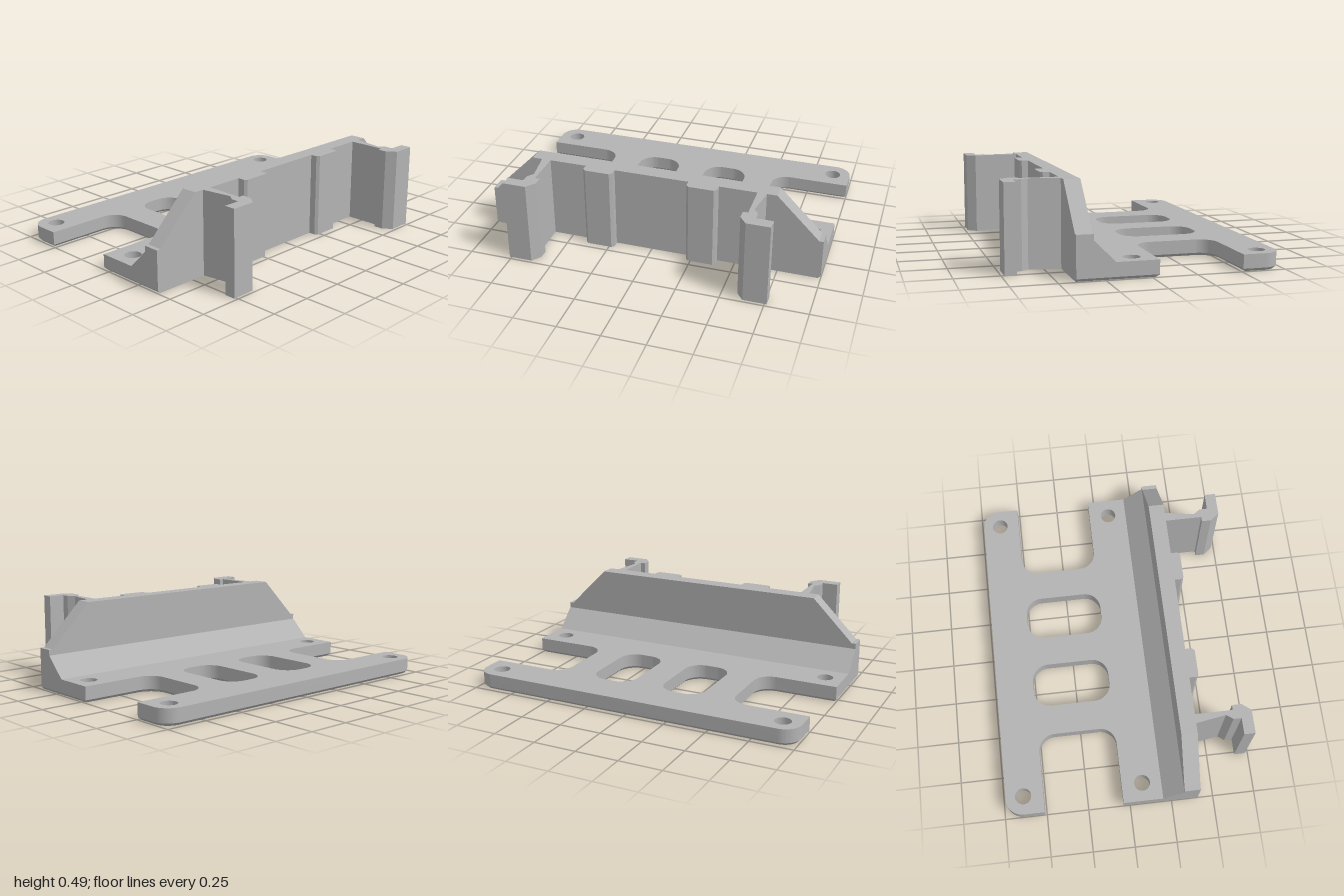
import * as THREE from 'three';
import { toCreasedNormals } from 'three/addons/utils/BufferGeometryUtils.js';

const HEIGHT = 0.494, PLATE = 0.094, FRONT = 0.408, BACK = -0.733, WALL_BACK = 0.315, CHAMFER = 0.016;

const polygon = (pts) => new THREE.Shape(pts.map(([x, y]) => new THREE.Vector2(x, y)));
const extrude = (shape, depth, steps = 1) =>
  new THREE.ExtrudeGeometry(shape, { depth, steps, bevelEnabled: false, curveSegments: 10 });

// Upright prism from an [x, z] plan
const upright = (plan, height) =>
  extrude(polygon(plan.map(([x, z]) => [x, -z])), height).rotateX(-Math.PI / 2);

const roundHole = (x, z, r) => new THREE.Path().absarc(x, -z, r, 0, Math.PI * 2, true);

function slotHole(x0, x1, y0, y1, r) {
  const p = new THREE.Path();
  p.moveTo(x0 + r, y0);
  p.absarc(x1 - r, y0 + r, r, -Math.PI / 2, 0);
  p.absarc(x1 - r, y1 - r, r, 0, Math.PI / 2);
  p.absarc(x0 + r, y1 - r, r, Math.PI / 2, Math.PI);
  p.absarc(x0 + r, y0 + r, r, Math.PI, Math.PI * 1.5);
  return p;
}

// Plate plan, drawn with shape y = -z
function plateShape() {
  const y0 = 0.04, y1 = 0.508, top = -BACK, inner = 0.535, r = 0.1, H = Math.PI / 2;
  const s = new THREE.Shape();
  s.moveTo(-1, -FRONT);
  s.lineTo(1, -FRONT);
  s.lineTo(1, y0);
  s.absarc(inner + r, y0 + r, r, -H, -2 * H, true);
  s.absarc(inner + r, y1 - r, r, 2 * H, H, true);
  s.lineTo(1, y1);
  s.absarc(1 - r, top - r, r, 0, H);
  s.absarc(-1 + r, top - r, r, H, 2 * H);
  s.lineTo(-1, y1);
  s.absarc(-inner - r, y1 - r, r, H, 0, true);
  s.absarc(-inner - r, y0 + r, r, 0, -H, true);
  s.lineTo(-1, y0);
  for (const side of [-1, 1]) {
    s.holes.push(roundHole(side * 0.892, -0.628, 0.048), roundHole(side * 0.892, 0.082, 0.048));
    s.holes.push(slotHole(side * 0.2225 - 0.1325, side * 0.2225 + 0.1325, y0, y1, r));
  }
  return s;
}

// Extrude the plate, then pull its lowest ring of points inward to chamfer the underside
function plateGeometry() {
  const shape = plateShape();
  const key = (x, y) => `${Math.round(x * 1e4)},${Math.round(y * 1e4)}`;
  const moved = new Map();
  const { shape: outline, holes } = shape.extractPoints(10);
  [outline, ...holes].forEach((ring, k) => {
    const pts = ring.filter((p, i) => p.distanceTo(ring[(i + 1) % ring.length]) > 1e-5);
    const sign = (THREE.ShapeUtils.area(pts) > 0 ? 1 : -1) * (k ? -1 : 1);
    const normal = (a, b) => new THREE.Vector2(a.y - b.y, b.x - a.x).normalize().multiplyScalar(sign);
    pts.forEach((p, i) => {
      const n1 = normal(pts[(i + pts.length - 1) % pts.length], p);
      const n2 = normal(p, pts[(i + 1) % pts.length]);
      const shift = n1.clone().add(n2).multiplyScalar(CHAMFER / (1 + n1.dot(n2)));
      if (p.y < -FRONT + 1e-4) shift.y = 0; // the front edge stays square
      moved.set(key(p.x, p.y), shift);
    });
  });
  const geo = extrude(shape, PLATE, 2);
  const pos = geo.attributes.position;
  for (let i = 0; i < pos.count; i++) {
    const z = pos.getZ(i);
    if (z < 1e-5) {
      const d = moved.get(key(pos.getX(i), pos.getY(i)));
      if (d) pos.setXY(i, pos.getX(i) + d.x, pos.getY(i) + d.y);
    } else if (z < PLATE - 1e-5) {
      pos.setZ(i, CHAMFER);
    }
  }
  return toCreasedNormals(geo.rotateX(-Math.PI / 2), 0.5);
}

export function createModel() {
  const model = new THREE.Group();
  model.name = 'mountingBracket';
  const grey = new THREE.MeshStandardMaterial({ color: 0xb3b3b3 });
  grey.name = 'plainGrey';
  const add = (name, geometry) => {
    const mesh = new THREE.Mesh(geometry, grey);
    mesh.name = name;
    model.add(mesh);
  };

  add('basePlate', plateGeometry());

  // Upright wall with sloping shoulders
  const wall = polygon([[-1, PLATE], [1, PLATE], [1, 0.245], [0.975, 0.245], [0.726, HEIGHT],
    [-0.726, HEIGHT], [-0.975, 0.245], [-1, 0.245]]);
  add('frontWall', extrude(wall, FRONT - WALL_BACK).translate(0, 0, WALL_BACK));

  // Sloped fillet between plate and wall
  const wedge = polygon([[0.196, PLATE], [WALL_BACK, PLATE], [WALL_BACK, 0.212]]);
  add('wallGusset', extrude(wedge, 2).rotateY(-Math.PI / 2).translate(1, 0, 0));

  // Spacer ribs and hooked clips, mirrored
  const rib = [[0.22, FRONT], [0.396, FRONT], [0.396, 0.447], [0.381, 0.462], [0.235, 0.462], [0.22, 0.447]];
  const clip = [[0.615, FRONT], [0.668, FRONT], [0.64, 0.583], [0.668, 0.622], [0.668, 0.668], [0.763, 0.668],
    [0.763, 0.733], [0.627, 0.733], [0.586, 0.68], [0.586, 0.625], [0.615, 0.625]];
  for (const [label, side] of [['left', 1], ['right', -1]]) {
    const mirror = (plan) => plan.map(([x, z]) => [x * side, z]);
    add(label + 'SpacerRib', upright(mirror(rib), HEIGHT));
    add(label + 'HookClip', upright(mirror(clip), HEIGHT));
  }
  return model;
}
